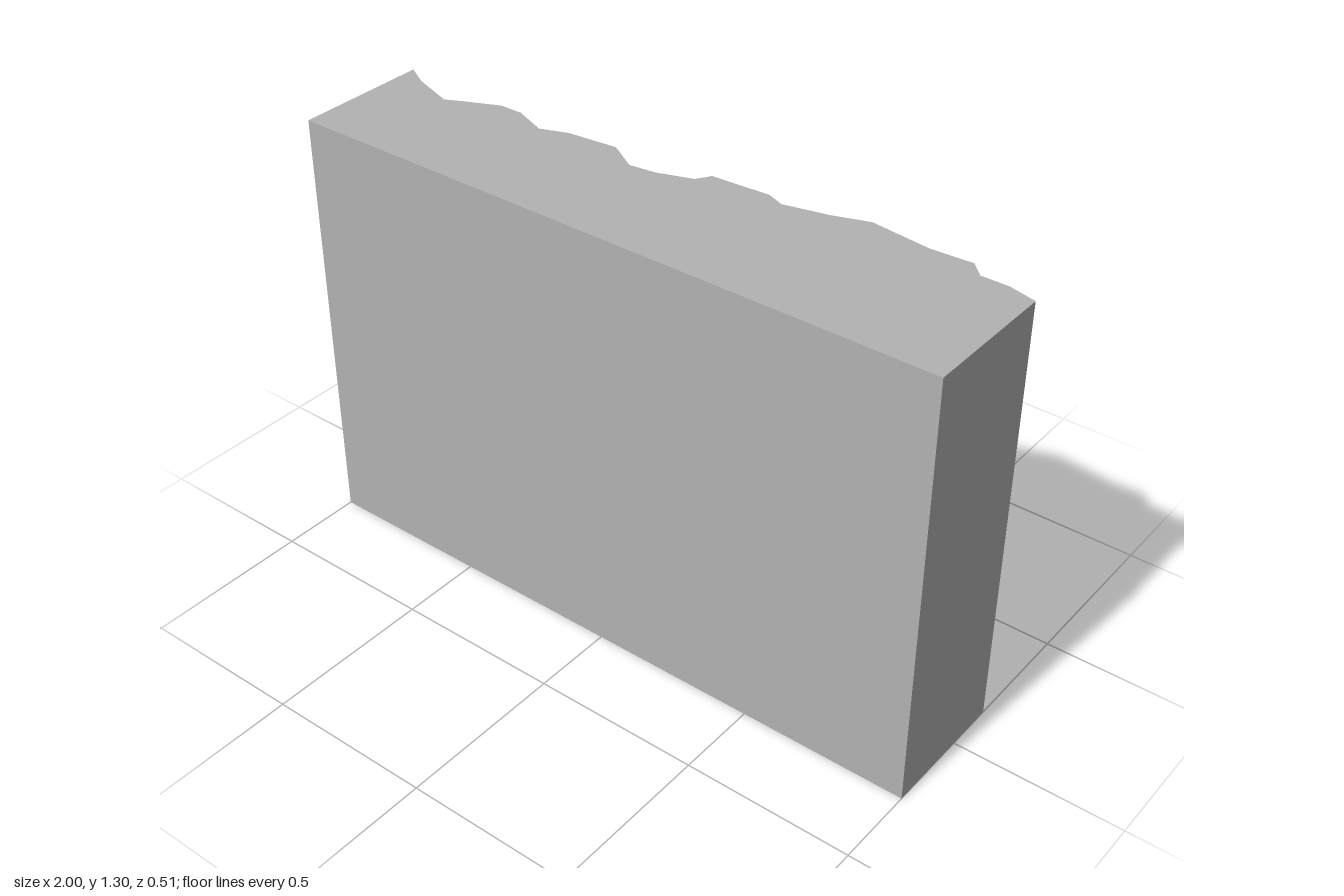
import * as THREE from 'three';

const HEIGHT = 1.3, FRONT = 0.255;

// Back-face cross-sections as [x, z], all with matching columns.
const TOP = [
  [-1, -.15], [-.93, -.11], [-.8, -.065], [-.75, -.09], [-.65, -.135], [-.58, -.135], [-.48, -.095],
  [-.4, -.125], [-.25, -.14], [-.16, -.085], [-.08, -.095], [.02, -.13], [.045, -.17], [.22, -.18],
  [.27, -.16], [.4, -.19], [.5, -.225], [.68, -.203], [.8, -.21], [.84, -.17], [.92, -.17], [1, -.15]];
const LOW = [
  [-1, -.15], [-.92, -.105], [-.77, -.085], [-.71, -.135], [-.63, -.16], [-.56, -.16], [-.46, -.13],
  [-.38, -.15], [-.24, -.16], [-.16, -.12], [-.08, -.13], [.015, -.15], [.03, -.185], [.22, -.19],
  [.28, -.17], [.4, -.19], [.5, -.215], [.64, -.217], [.74, -.217], [.785, -.175], [.9, -.17], [1, -.15]];
const BASE = [
  [-1, -.15], [-.96, -.11], [-.81, -.08], [-.7, -.16], [-.62, -.17], [-.55, -.17], [-.46, -.142],
  [-.38, -.155], [-.25, -.17], [-.16, -.13], [-.08, -.14], [.01, -.155], [.03, -.17], [.2, -.185],
  [.28, -.178], [.4, -.185], [.5, -.2], [.73, -.255], [.84, -.238], [.89, -.178], [.93, -.17], [1, -.15]];

const mix = (a, b, t) => a.map((p, i) => [p[0] + (b[i][0] - p[0]) * t, p[1] + (b[i][1] - p[1]) * t]);

// Horizontal sections from bottom to top, with slight irregularity between them
function makeRows() {
  const rows = [0, 0.12, 0.3, 0.48, 0.66, 0.84, 1.02, 1.18, HEIGHT].map((y, j, all) => {
    const section = y < 0.3 ? mix(BASE, LOW, y / 0.3) : mix(LOW, TOP, (y - 0.3) / (HEIGHT - 0.3));
    const inner = j > 2 && j < all.length - 1;
    return section.map(([x, z], i) => {
      const free = inner && i > 0 && i < section.length - 1 ? 1 : 0;
      return new THREE.Vector3(
        x + free * 0.006 * Math.sin(i * 2.3 + j * 1.9), y,
        z + free * 0.004 * Math.sin(i * 1.7 + j * 2.6));
    });
  });
  return rows;
}

// Flat-faced mesh from quads given anticlockwise as seen from outside
function quadMesh(name, quads, material) {
  const points = quads.flatMap(([a, b, c, d]) => [a, b, c, a, c, d]);
  const geometry = new THREE.BufferGeometry().setFromPoints(points);
  geometry.computeVertexNormals();
  const mesh = new THREE.Mesh(geometry, material);
  mesh.name = name;
  return mesh;
}

export function createModel() {
  const stone = new THREE.MeshStandardMaterial({ color: 0xb2b2b2, flatShading: true });
  stone.name = 'stone grey';
  const group = new THREE.Group();
  group.name = 'rockWallPanel';

  const rows = makeRows();
  const last = rows[0].length - 1, topRow = rows[rows.length - 1];
  const front = p => new THREE.Vector3(p.x, p.y, FRONT);
  const rock = [], topFace = [], bottomFace = [], ends = [];

  // Craggy back
  for (let j = 0; j < rows.length - 1; j++) {
    const a = rows[j], b = rows[j + 1];
    for (let i = 0; i < last; i++) rock.push([a[i + 1], a[i], b[i], b[i + 1]]);
    ends.push([front(a[last]), a[last], b[last], front(b[last])]);
    ends.push([a[0], front(a[0]), front(b[0]), b[0]]);
  }
  // Level top and bottom, following the craggy outline
  for (let i = 0; i < last; i++) {
    const t = topRow[i], u = topRow[i + 1], p = rows[0][i], q = rows[0][i + 1];
    topFace.push([front(t), front(u), u, t]);
    bottomFace.push([p, q, front(q), front(p)]);
  }
  const flatFront = [[front(rows[0][0]), front(rows[0][last]), front(topRow[last]), front(topRow[0])]];

  group.add(
    quadMesh('rockFace', rock, stone),
    quadMesh('topFace', topFace, stone),
    quadMesh('bottomFace', bottomFace, stone),
    quadMesh('endFaces', ends, stone),
    quadMesh('flatFront', flatFront, stone));
  return group;
}
